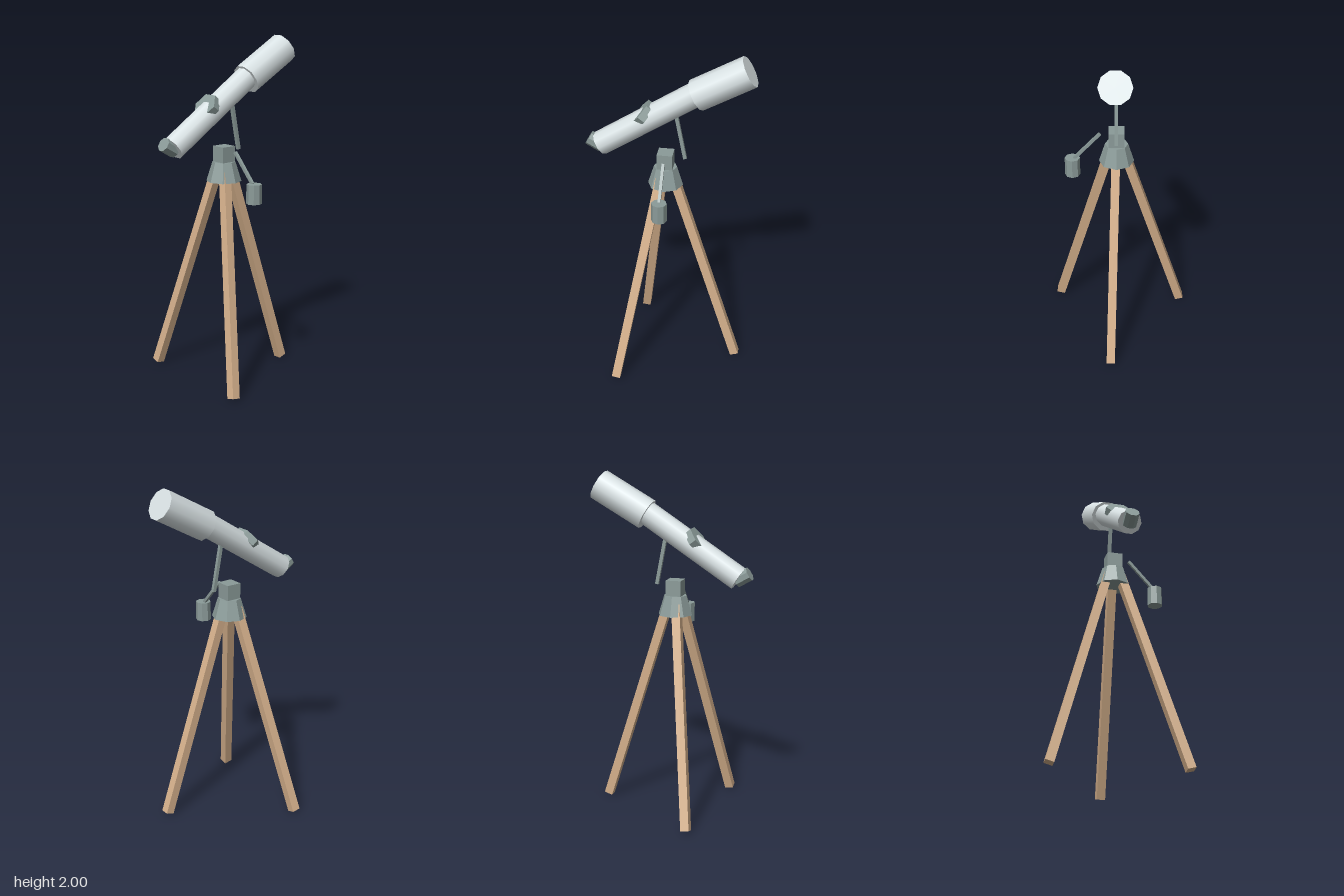
import * as THREE from 'three';

const UP = new THREE.Vector3(0, 1, 0);
const CX = 0.015, CZ = 0.025; // vertical axis of the tripod

function material(name, color, flatShading = false) {
  const m = new THREE.MeshStandardMaterial({ color, flatShading });
  m.name = name;
  return m;
}

export function createModel() {
  const group = new THREE.Group();
  group.name = 'telescope';
  const white = material('pale tube paint', 0xd8e1e3);
  const metal = material('grey green metal', 0x8b9b99, true);
  const wood = material('light wood', 0xd6b18c, true);

  // Places a geometry built along y so that it runs from a to b
  function place(name, geometry, mat, a, b) {
    const from = new THREE.Vector3(...a), to = new THREE.Vector3(...b);
    const mesh = new THREE.Mesh(geometry, mat);
    mesh.name = name;
    mesh.position.copy(from).add(to).multiplyScalar(0.5);
    mesh.quaternion.setFromUnitVectors(UP, to.sub(from).normalize());
    group.add(mesh);
    return mesh;
  }
  const dist = (a, b) => new THREE.Vector3(...a).distanceTo(new THREE.Vector3(...b));

  function cylinder(name, mat, a, b, rBottom, rTop, sides, spin = 0) {
    const geo = new THREE.CylinderGeometry(rTop, rBottom, dist(a, b), sides).rotateY(spin);
    return place(name, geo, mat, a, b);
  }
  function beam(name, mat, a, b, size) {
    return place(name, new THREE.BoxGeometry(size, dist(a, b), size), mat, a, b);
  }

  // Optical tube, with the wider hood at a slightly flatter angle
  const quarter = Math.PI / 2;
  cylinder('mainTube', white, [CX, 1.415, 0.402], [CX, 1.79, -0.18], 0.07, 0.07, 10, quarter);
  cylinder('hood', white, [CX, 1.759, -0.146], [CX, 1.923, -0.439], 0.092, 0.092, 10, quarter);

  // Eyepiece, tilted up from the lower end
  cylinder('eyepiece', metal, [CX, 1.403, 0.39], [CX, 1.447, 0.466], 0.042, 0.042, 8, Math.PI / 8);

  // Collar set across the tube
  cylinder('collar', metal, [CX, 1.609, 0.132], [CX, 1.637, 0.168], 0.08, 0.08, 6, quarter);

  // Strut hanging under the tube
  beam('strut', metal, [CX, 1.357, -0.087], [CX, 1.63, -0.035], 0.02);

  // Tripod head and mount block
  cylinder('tripodHead', metal, [CX, 1.183, CZ], [CX, 1.297, CZ], 0.102, 0.067, 8);
  beam('mountBlock', metal, [CX, 1.295, CZ], [CX, 1.388, CZ], 0.09);

  // Counterweight on its sloping arm
  beam('counterweightArm', metal, [0.111, 1.364, CZ - 0.002], [0.26, 1.2, CZ - 0.002], 0.017);
  cylinder('counterweight', metal, [0.271, 1.09, CZ - 0.003], [0.271, 1.203, CZ - 0.003], 0.0445, 0.0445, 8);

  // Three splayed legs, each leaning in toward the head
  const feet = { rightLeg: [-0.385, 0.214], leftLeg: [0.381, 0.272], backLeg: [0.047, -0.412] };
  for (const [name, [x, z]] of Object.entries(feet)) {
    const top = [CX + (x - CX) * 0.1, 1.245, CZ + (z - CZ) * 0.1];
    beam(name, wood, [x, 0.013, z], top, 0.05);
  }

  return group;
}
